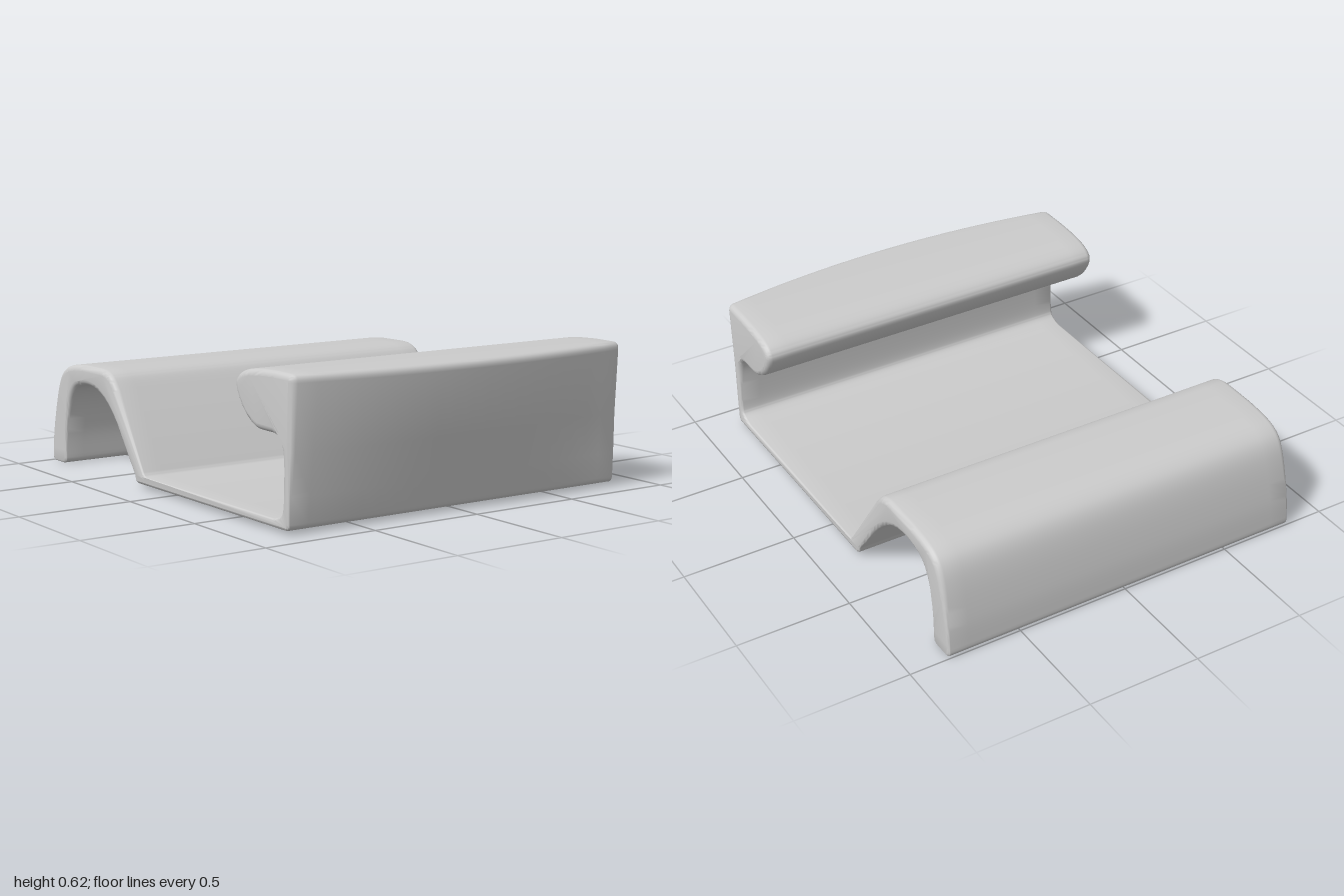
import * as THREE from 'three';
import { toCreasedNormals } from 'three/addons/utils/BufferGeometryUtils.js';

const HALF = 0.828; // half of the depth

// Closed side profile, counter-clockwise
function profile() {
  const s = new THREE.Shape();
  const curve = (...p) => s.splineThru(p.map(([x, y]) => new THREE.Vector2(x, y)));
  s.moveTo(-1, 0.03);
  // foot of the hooked leg
  s.quadraticCurveTo(-1, 0.006, -0.975, 0.004);
  s.lineTo(-0.905, 0.004);
  s.quadraticCurveTo(-0.88, 0.006, -0.88, 0.03);
  // underside of the arch
  curve([-0.872, 0.15], [-0.845, 0.27], [-0.8, 0.345], [-0.74, 0.373], [-0.66, 0.38], [-0.58, 0.365],
    [-0.5, 0.322], [-0.42, 0.25], [-0.34, 0.15], [-0.262, 0.05]);
  s.quadraticCurveTo(-0.258, 0.02, -0.235, 0.02);
  // floor underside and outer wall
  s.lineTo(0.87, 0.02);
  s.quadraticCurveTo(0.89, 0.02, 0.892, 0.045);
  s.lineTo(0.897, 0.15);
  s.lineTo(0.905, 0.32);
  s.lineTo(0.92, 0.588);
  s.quadraticCurveTo(0.922, 0.62, 0.89, 0.621);
  // overhanging lip
  s.lineTo(0.8, 0.622);
  curve([0.68, 0.616], [0.59, 0.602], [0.54, 0.577], [0.522, 0.54], [0.545, 0.483], [0.595, 0.425],
    [0.66, 0.387], [0.72, 0.381]);
  s.lineTo(0.78, 0.381);
  // inner wall and floor top
  curve([0.825, 0.362], [0.848, 0.31], [0.855, 0.22], [0.854, 0.11], [0.838, 0.072], [0.785, 0.053]);
  s.lineTo(-0.17, 0.053);
  s.quadraticCurveTo(-0.19, 0.055, -0.2, 0.072);
  // slope and top of the arch
  s.lineTo(-0.415, 0.393);
  curve([-0.46, 0.443], [-0.508, 0.464], [-0.56, 0.469]);
  s.lineTo(-0.7, 0.467);
  curve([-0.8, 0.457], [-0.872, 0.436], [-0.922, 0.39], [-0.957, 0.3], [-0.988, 0.15], [-1, 0.03]);
  const pts = s.getPoints(5);
  if (pts[0].distanceTo(pts[pts.length - 1]) < 1e-5) pts.pop();
  return pts;
}

// Loft the profile along z with rounded end edges and a bowed outer wall
function trayGeometry() {
  const pts = profile(), n = pts.length;

  // inward mitre direction at every profile point
  const inward = pts.map((p, i) => {
    const a = p.clone().sub(pts[(i + n - 1) % n]).normalize();
    const b = pts[(i + 1) % n].clone().sub(p).normalize();
    const k = 1 / Math.max(0.5, 1 + a.dot(b));
    return new THREE.Vector2(-(a.y + b.y) * k, (a.x + b.x) * k);
  });
  const radius = pts.map((p) => 0.01 + 0.015 * THREE.MathUtils.smoothstep(p.y, 0.05, 0.4));

  // rings: rounded back edge, straight run, rounded front edge
  const rings = [], BEVEL = 4, RUN = 20;
  for (let i = 0; i < BEVEL; i++) rings.push({ side: -1, t: (i / BEVEL) * Math.PI / 2 });
  for (let i = 0; i <= RUN; i++) rings.push({ side: (i / RUN) * 2 - 1, t: Math.PI / 2 });
  for (let i = BEVEL - 1; i >= 0; i--) rings.push({ side: 1, t: (i / BEVEL) * Math.PI / 2 });

  const pos = [], index = [];
  for (const { side, t } of rings) {
    pts.forEach((p, i) => {
      const r = radius[i], inset = r * (1 - Math.sin(t));
      const z = side * (HALF - r + r * Math.cos(t) * (t < Math.PI / 2 ? 1 : 0));
      const bow = 0.079 * THREE.MathUtils.clamp((p.y - 0.04) / 0.55, 0, 1)
        * (1 - (z / HALF) ** 2) * THREE.MathUtils.smoothstep(p.x, 0.86, 0.89);
      pos.push(p.x + inward[i].x * inset + bow, p.y + inward[i].y * inset, z);
    });
  }
  for (let k = 0; k < rings.length - 1; k++) {
    for (let i = 0; i < n; i++) {
      const j = (i + 1) % n;
      const a = k * n + i, b = k * n + j, c = b + n, d = a + n;
      index.push(a, b, c, a, c, d);
    }
  }
  // end faces
  const last = (rings.length - 1) * n;
  for (const [a, b, c] of THREE.ShapeUtils.triangulateShape(pts, [])) {
    index.push(last + a, last + b, last + c, a, c, b);
  }
  const geo = new THREE.BufferGeometry();
  geo.setAttribute('position', new THREE.Float32BufferAttribute(pos, 3));
  geo.setIndex(index);
  return toCreasedNormals(geo, 0.9);
}

export function createModel() {
  const group = new THREE.Group();
  group.name = 'hookedTray';
  const body = new THREE.Mesh(trayGeometry(), new THREE.MeshStandardMaterial({ color: 0xcccccc }));
  body.name = 'trayBody';
  group.add(body);
  return group;
}
